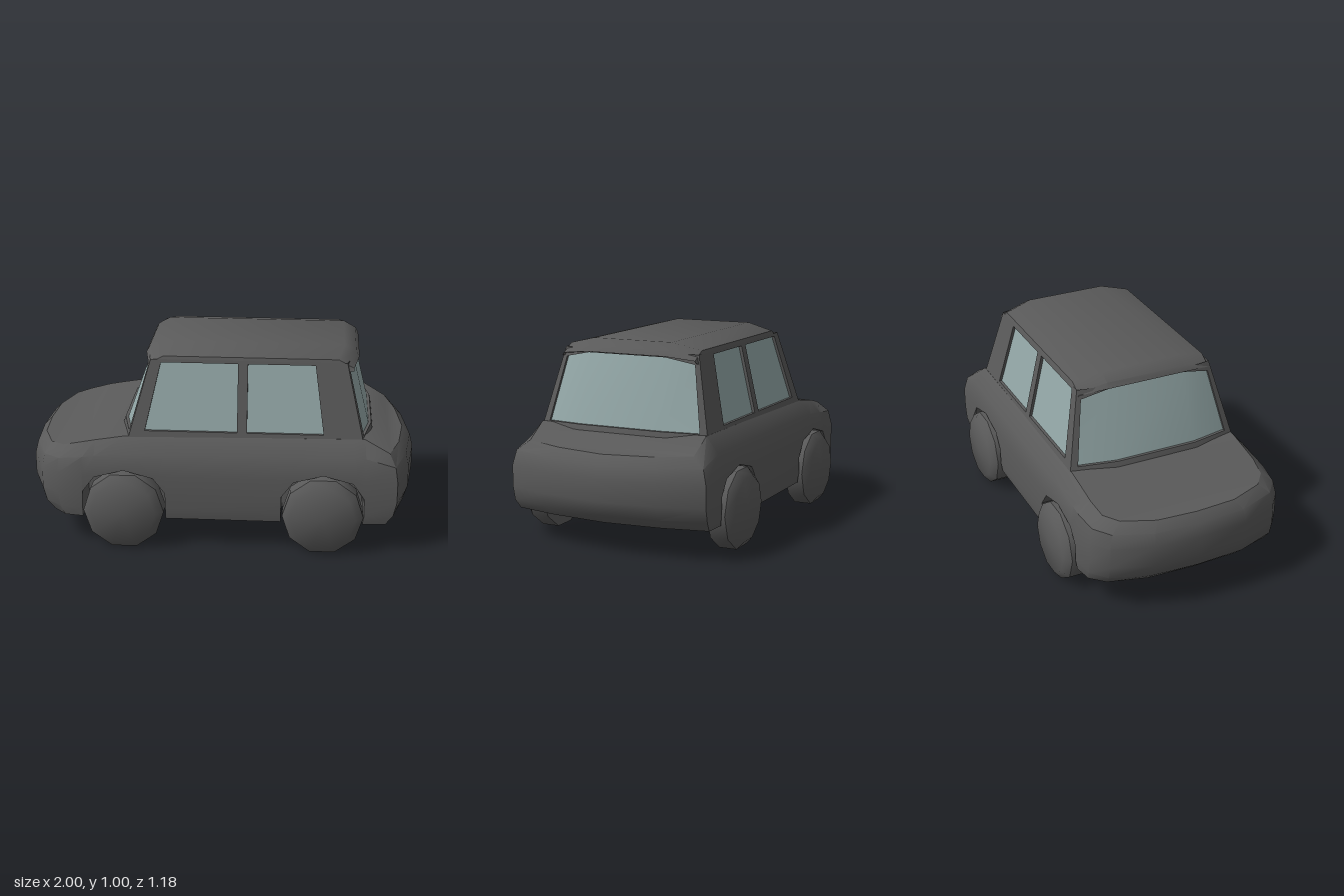
import * as THREE from 'three';
import { toCreasedNormals } from 'three/addons/utils/BufferGeometryUtils.js';

const paint = new THREE.MeshStandardMaterial({ color: 0x5a5a5a, side: THREE.DoubleSide });
const glass = new THREE.MeshStandardMaterial({ color: 0x94a8a8, side: THREE.DoubleSide });

// Piecewise linear lookup in [[x, y], ...]
function lookup(table, x) {
  if (x <= table[0][0]) return table[0][1];
  for (let k = 1; k < table.length; k++) {
    const [x0, y0] = table[k - 1], [x1, y1] = table[k];
    if (x <= x1) return y0 + (y1 - y0) * (x - x0) / (x1 - x0);
  }
  return table[table.length - 1][1];
}

// Skin a grid of points; the front is column direction x row direction
function panel(name, cols, rows, point, material = paint, keep = () => true) {
  const pos = [];
  const tri = (a, b, c) => {
    const n = new THREE.Vector3().subVectors(b, a).cross(new THREE.Vector3().subVectors(c, a));
    if (n.length() > 1e-7) pos.push(...a, ...b, ...c);
  };
  const at = (i, j) => new THREE.Vector3(...point(i, j));
  for (let j = 0; j < rows - 1; j++) {
    for (let i = 0; i < cols - 1; i++) {
      if (!keep(i, j)) continue;
      tri(at(i, j), at(i + 1, j), at(i + 1, j + 1));
      tri(at(i, j), at(i + 1, j + 1), at(i, j + 1));
    }
  }
  const geo = new THREE.BufferGeometry();
  geo.setAttribute('position', new THREE.Float32BufferAttribute(pos, 3));
  const mesh = new THREE.Mesh(toCreasedNormals(geo, 0.6), material);
  mesh.name = name;
  return mesh;
}

const wheelX = [-0.48, 0.53];
const floorY = 0.15;
const archShape = [[-0.212, 0.15], [-0.21, 0.29], [-0.15, 0.37], [0, 0.41], [0.15, 0.37], [0.21, 0.29], [0.212, 0.15]];
const archY = x => Math.max(...wheelX.map(c => lookup(archShape, x - c)));
const deckY = x => lookup([[-1, 0.49], [-0.82, 0.505], [-0.5, 0.565], [0.76, 0.58], [0.9, 0.505], [1, 0.49]], x);

function createBody() {
  const body = new THREE.Group();
  body.name = 'body';

  // Half of the plan outline, nose to tail
  const half = [[-1, 0], [-0.985, 0.25], [-0.91, 0.45], [-0.82, 0.52]];
  wheelX.forEach(c => archShape.forEach(([dx]) => half.push([c + dx, 0.537])));
  half.push([0.9, 0.53], [0.965, 0.3], [1, 0]);
  const loop = [...half, ...half.slice(0, -1).reverse().map(([x, z]) => [x, -z])];

  // Rings: height, share of the way up to the deck, end inset, width factor
  const rings = [
    [0.15, 0, 0.08, 0.985], [0.2, 0, 0.025, 1], [0.27, 0, 0, 1],
    [0.38, 0, 0, 1], [0.38, 0.6, 0.017, 0.965], [0.38, 1, 0.06, 0.845],
  ];
  const ringPoint = ([x, z], [y, t, inset, width]) => {
    const end = Math.max(0, (Math.abs(x) - 0.7) / 0.3);
    const h = Math.max(y + (deckY(x) - y) * t, archY(x));
    return [x - Math.sign(x) * end * inset, h, z * width];
  };
  body.add(panel('bodySides', loop.length, rings.length, (i, j) => ringPoint(loop[i], rings[j])));

  // Bonnet and boot deck
  body.add(panel('bonnetAndBoot', half.length, 2, (i, j) => {
    const [x, y, z] = ringPoint(half[i], rings[5]);
    return [x, y, j ? -z : z];
  }));

  // Floor with wheel wells folded into it
  body.add(panel('floorAndWheelWells', half.length, 6, (i, j) => {
    const [x, y, z] = ringPoint(half[i], rings[0]);
    const inner = Math.min(z, 0.34);
    const zs = [-z, -inner, -inner, inner, inner, z];
    return [x, j === 2 || j === 3 ? floorY : y, zs[j]];
  }));
  return body;
}

// Cabin wall with recessed windows.
// Column: bottom x, bottom z, top x, top z, window bottom share, window top share
function createWall(name, columns, windows, inward) {
  const wall = new THREE.Group();
  wall.name = name;
  const point = (i, j, deep = 0) => {
    const [x0, z0, x1, z1, low, high] = columns[i];
    const t = [0, low, high, 1][j];
    return [x0 + (x1 - x0) * t + inward[0] * deep, 0.56 + 0.39 * t, z0 + (z1 - z0) * t + inward[1] * deep];
  };
  const glazed = (i, j) => j === 1 && windows.some(([a, b]) => i >= a && i < b);
  wall.add(panel('frame', columns.length, 4, point, paint, (i, j) => !glazed(i, j)));
  for (const [a, b] of windows) {
    const n = b - a + 3;
    const inset = (i, j) => {
      const edge = i === 0 || i === n - 1 || j === 0 || j === 3;
      return point(Math.min(b, Math.max(a, a + i - 1)), j < 2 ? 1 : 2, edge ? 0 : 1);
    };
    const pane = (i, j) => j === 1 && i > 0 && i < n - 2;
    wall.add(panel('windowReveal', n, 4, inset, paint, (i, j) => !pane(i, j)));
    wall.add(panel('windowPane', n, 4, inset, glass, pane));
  }
  return wall;
}

function createCabin() {
  const cabin = new THREE.Group();
  cabin.name = 'cabin';

  // Sides: bottom x and top x of each upright
  const uprights = [[-0.46, -0.35], [-0.385, -0.295], [0.09, 0.09], [0.14, 0.14], [0.53, 0.475], [0.725, 0.635]];
  const side = s => uprights.map(([b, t]) => [b, 0.457 * s, t, 0.368 * s, 0.09, 0.96]);
  cabin.add(createWall('leftSide', side(1), [[1, 2], [3, 4]], [0, -0.015]));
  cabin.add(createWall('rightSide', side(-1).reverse(), [[1, 2], [3, 4]], [0, 0.015]));

  // Curved front and rear screens, mirrored about the centre line
  const mirrored = h => [...h, ...h.map(([a, z, b, y, l, t]) => [a, -z, b, -y, l, t]).reverse()];
  const front = mirrored([
    [-0.46, -0.457, -0.35, -0.368, 0.06, 0.88],
    [-0.468, -0.42, -0.355, -0.345, 0.06, 0.88],
    [-0.515, -0.22, -0.375, -0.21, 0.07, 0.96],
  ]);
  const rear = mirrored([
    [0.725, 0.457, 0.635, 0.368, 0.06, 0.88],
    [0.733, 0.42, 0.64, 0.345, 0.06, 0.88],
    [0.775, 0.22, 0.68, 0.21, 0.07, 0.96],
  ]);
  cabin.add(createWall('windscreen', front, [[1, 4]], [0.015, 0]));
  cabin.add(createWall('rearScreen', rear, [[1, 4]], [-0.015, 0]));

  // Roof with a small lip front and rear
  const spine = [[-0.365, 0.935], [-0.39, 0.94], [-0.375, 0.967], [-0.315, 1], [0.62, 1], [0.68, 0.967], [0.697, 0.94], [0.67, 0.935]];
  const across = [[0.37, 0.06], [0.362, 0.035], [0.215, 0], [-0.215, 0], [-0.362, 0.035], [-0.37, 0.06]];
  cabin.add(panel('roof', spine.length, across.length, (i, j) => {
    const [x, y] = spine[i], [z, drop] = across[j];
    const pull = drop ? 0.028 : 0;
    return [x - Math.sign(x) * pull, y - drop * (y > 0.95 ? 1 : 0.5), z];
  }));
  return cabin;
}

function createWheel() {
  const profile = [[0, -0.065], [0.205, -0.065], [0.205, 0.028], [0.165, 0.062], [0, 0.068]];
  const geo = new THREE.LatheGeometry(profile.map(p => new THREE.Vector2(...p)), 10, Math.PI / 2);
  geo.rotateX(Math.PI / 2);
  return new THREE.Mesh(toCreasedNormals(geo.toNonIndexed(), 0.75), paint);
}

export function createModel() {
  const car = new THREE.Group();
  car.name = 'car';
  car.add(createBody(), createCabin());

  // Wheels and axles
  wheelX.forEach((x, k) => {
    const end = k ? 'rear' : 'front';
    for (const s of [1, -1]) {
      const wheel = createWheel();
      wheel.name = end + (s > 0 ? 'LeftWheel' : 'RightWheel');
      wheel.position.set(x, 0.195, s * 0.523);
      if (s < 0) wheel.rotation.y = Math.PI;
      car.add(wheel);
    }
    const axle = new THREE.Mesh(new THREE.CylinderGeometry(0.1, 0.1, 0.94, 12), paint);
    axle.name = end + 'Axle';
    axle.rotation.x = Math.PI / 2;
    axle.position.set(x, 0.19, 0);
    car.add(axle);
  });
  return car;
}
